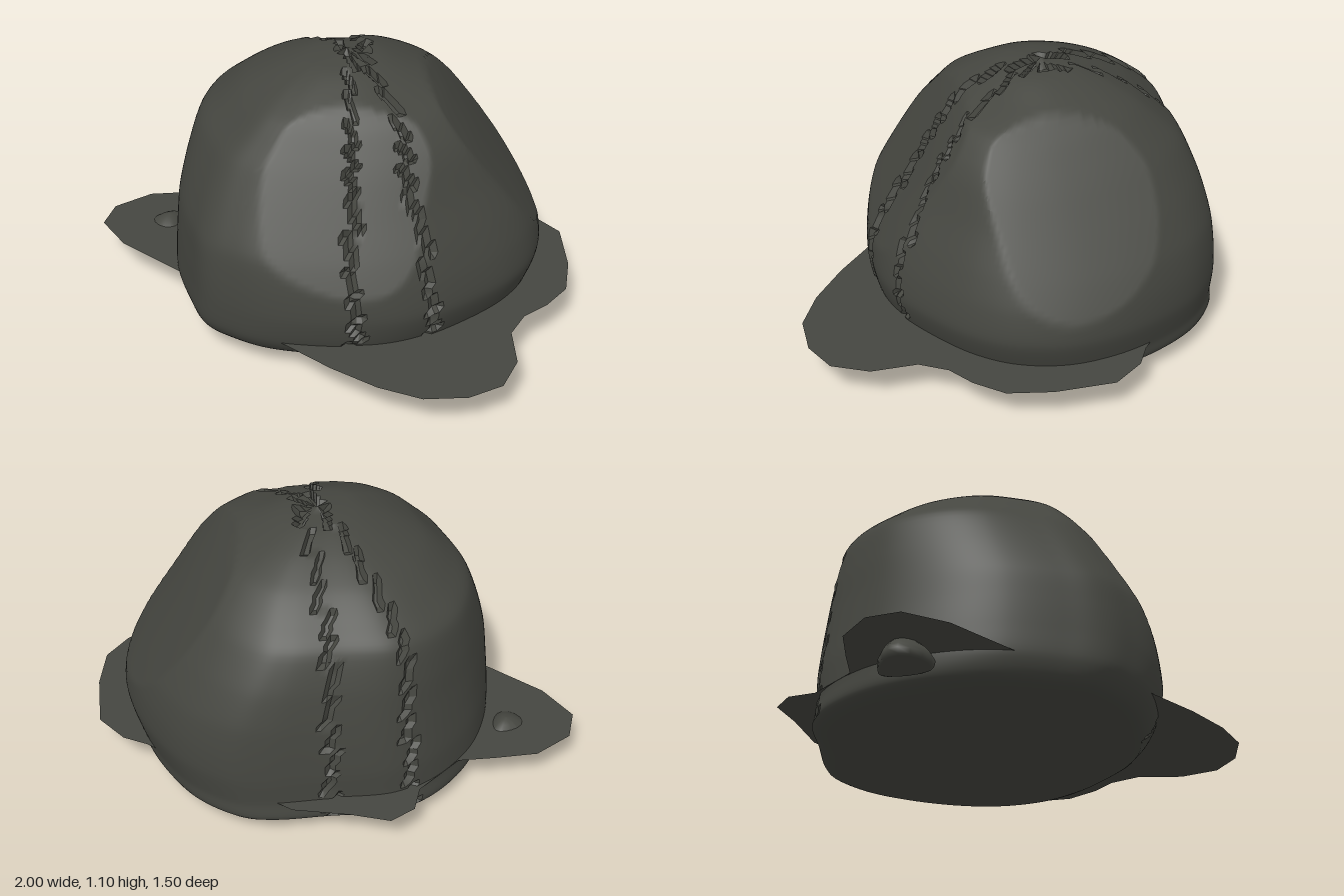
import * as THREE from 'three';
import { toCreasedNormals } from 'three/addons/utils/BufferGeometryUtils.js';

const stone = new THREE.MeshStandardMaterial({ color: 0x454640, side: THREE.DoubleSide });
stone.name = 'dark stone';

// Repeatable value from -1 to 1 for the ragged crack edges
const jag = (n) => {
  const s = Math.sin(n * 127.1 + 11.7) * 43758.5453;
  return (s - Math.floor(s)) * 2 - 1;
};

// Skin a grid of points: rings run counter-clockwise seen from above, bottom to top
function skin(rings, segments, pointAt) {
  const pos = [], index = [];
  for (let i = 0; i <= rings; i++) {
    for (let j = 0; j < segments; j++) pos.push(...pointAt(i / rings, j, i));
  }
  for (let i = 0; i < rings; i++) {
    for (let j = 0; j < segments; j++) {
      const a = i * segments + j, b = i * segments + (j + 1) % segments;
      const c = a + segments, d = b + segments;
      if (i > 0) index.push(a, b, d);
      if (i < rings - 1) index.push(a, d, c);
      else index.push(a, b, c);
    }
  }
  const g = new THREE.BufferGeometry();
  g.setAttribute('position', new THREE.Float32BufferAttribute(pos, 3));
  g.setIndex(index);
  return g;
}

// Boulder: one plan outline fitted to the x and z extents at each height
function boulderGeometry() {
  const plan = new THREE.CatmullRomCurve3([
    [-0.12, 0.74], [0.02, 0.73], [0.16, 0.69], [0.34, 0.58], [0.52, 0.42], [0.61, 0.27],
    [0.67, 0.05], [0.69, -0.15], [0.66, -0.32], [0.56, -0.49], [0.4, -0.62], [0.2, -0.71],
    [0, -0.75], [-0.2, -0.72], [-0.31, -0.65], [-0.47, -0.49], [-0.66, -0.3], [-0.72, -0.16],
    [-0.74, 0], [-0.72, 0.17], [-0.62, 0.39], [-0.49, 0.54], [-0.28, 0.67],
  ].map(([x, z]) => new THREE.Vector3(x, 0, z)), true, 'centripetal');

  // height, left/right extent, back/front extent
  const levels = [
    [0, -0.17, -0.17, 0, 0], [0.02, -0.48, 0.15, -0.36, 0.36], [0.05, -0.67, 0.44, -0.56, 0.53],
    [0.085, -0.735, 0.6, -0.71, 0.68], [0.16, -0.735, 0.65, -0.725, 0.74],
    [0.28, -0.73, 0.69, -0.745, 0.75], [0.4, -0.715, 0.67, -0.74, 0.745],
    [0.52, -0.7, 0.625, -0.715, 0.725], [0.66, -0.685, 0.56, -0.65, 0.655],
    [0.8, -0.655, 0.5, -0.56, 0.57], [0.88, -0.57, 0.45, -0.485, 0.5],
    [0.96, -0.46, 0.37, -0.39, 0.42], [1.03, -0.32, 0.21, -0.26, 0.3],
    [1.08, -0.19, 0.09, -0.13, 0.17], [1.1, -0.05, -0.05, 0, 0],
  ];
  const curve = (a, b) => new THREE.CatmullRomCurve3(
    levels.map((l) => new THREE.Vector3(l[0], l[a], l[b])), false, 'catmullrom', 0.4);
  const xCurve = curve(1, 2), zCurve = curve(3, 4);

  // Broad flats worn softly on the two corners of the +x side
  const flats = [
    [new THREE.Vector3(0.576, 0.579, -0.576), 0.805],
    [new THREE.Vector3(0.601, 0.525, 0.601), 0.765],
  ];

  const segments = 220;
  const outline = plan.getSpacedPoints(segments);
  const dir = new THREE.Vector2(0.84, 0.54);

  const geometry = skin(80, segments, (t, j, ring) => {
    const ex = xCurve.getPoint(t), ez = zCurve.getPoint(t);
    const o = outline[j];
    const p = new THREE.Vector3(
      (ex.y + ex.z) / 2 + (o.x + 0.025) / 1.43 * (ex.z - ex.y),
      Math.max(0, ex.x),
      (ez.y + ez.z) / 2 + (o.z + 0.005) / 1.49 * (ez.z - ez.y));
    for (const [normal, limit] of flats) {
      p.addScaledVector(normal, -0.8 * Math.max(0, p.dot(normal) - limit));
    }

    // Shallow seam with ragged edges, over the top and widening down both sides
    if (p.y > 0.09) {
      const u = p.x * dir.x + p.z * dir.y, v = p.z * dir.x - p.x * dir.y;
      const step = Math.floor(ring / 5) + (u > 0 ? 0 : 60);
      const saw = 0.04 * ((ring % 5) / 4 - 0.5);
      const front = 0.03 + 0.26 * Math.abs(u) + saw + 0.015 * jag(step);
      const back = -0.03 - 0.15 * Math.abs(u) + saw + 0.015 * jag(step + 200);
      if (v < front && v > back) {
        const k = Math.min(front - v, v - back) < 0.025 ? 0.965 : 0.988;
        p.x = -0.05 + (p.x + 0.05) * k;
        p.z *= k;
        if (p.y > 0.3) p.y = 0.3 + (p.y - 0.3) * k;
      }
    }
    return p.toArray();
  });
  return toCreasedNormals(geometry, 0.5);
}

// Thin uneven slab of ground around the boulder
function groundSheetGeometry() {
  const shape = new THREE.Shape([
    [-1, 0.43], [-0.94, 0.55], [-0.76, 0.6], [-0.4, 0.585], [0.2, 0.66], [0.45, 0.65],
    [0.66, 0.62], [0.83, 0.56], [0.95, 0.44], [1, 0.3], [0.95, 0.15], [0.82, 0.02],
    [0.79, -0.1], [0.81, -0.22], [0.8, -0.36], [0.7, -0.51], [0.53, -0.68], [0.38, -0.7],
    [0.28, -0.67], [-0.2, -0.62], [-0.41, -0.6], [-0.6, -0.48], [-0.74, -0.41], [-0.77, -0.3],
    [-0.72, -0.2], [-0.74, 0.03], [-0.84, 0.13], [-0.96, 0.26],
  ].map(([x, z]) => new THREE.Vector2(x, -z)));
  return new THREE.ShapeGeometry(shape).rotateX(-Math.PI / 2);
}

// Small flat-bottomed pebble, peaked on top and tapered towards the back
function pebbleGeometry() {
  const g = new THREE.SphereGeometry(1, 16, 12);
  const p = g.attributes.position;
  for (let i = 0; i < p.count; i++) {
    const x = p.getX(i), y = p.getY(i), z = p.getZ(i);
    const peak = 1 - 0.3 * Math.max(y, 0);
    p.setXYZ(i, x * 0.095 * peak * (1 + 0.45 * z), Math.max(y, -0.3) * 0.085, z * 0.115 * peak);
  }
  g.computeVertexNormals();
  return g;
}

export function createModel() {
  const model = new THREE.Group();
  model.name = 'crackedBoulder';
  const add = (name, geometry, x = 0, y = 0, z = 0) => {
    const mesh = new THREE.Mesh(geometry, stone);
    mesh.name = name;
    mesh.position.set(x, y, z);
    model.add(mesh);
  };
  add('boulder', boulderGeometry());
  add('groundSheet', groundSheetGeometry(), 0, 0.17, 0);
  add('pebble', pebbleGeometry(), -0.755, 0.112, 0.34);
  return model;
}
